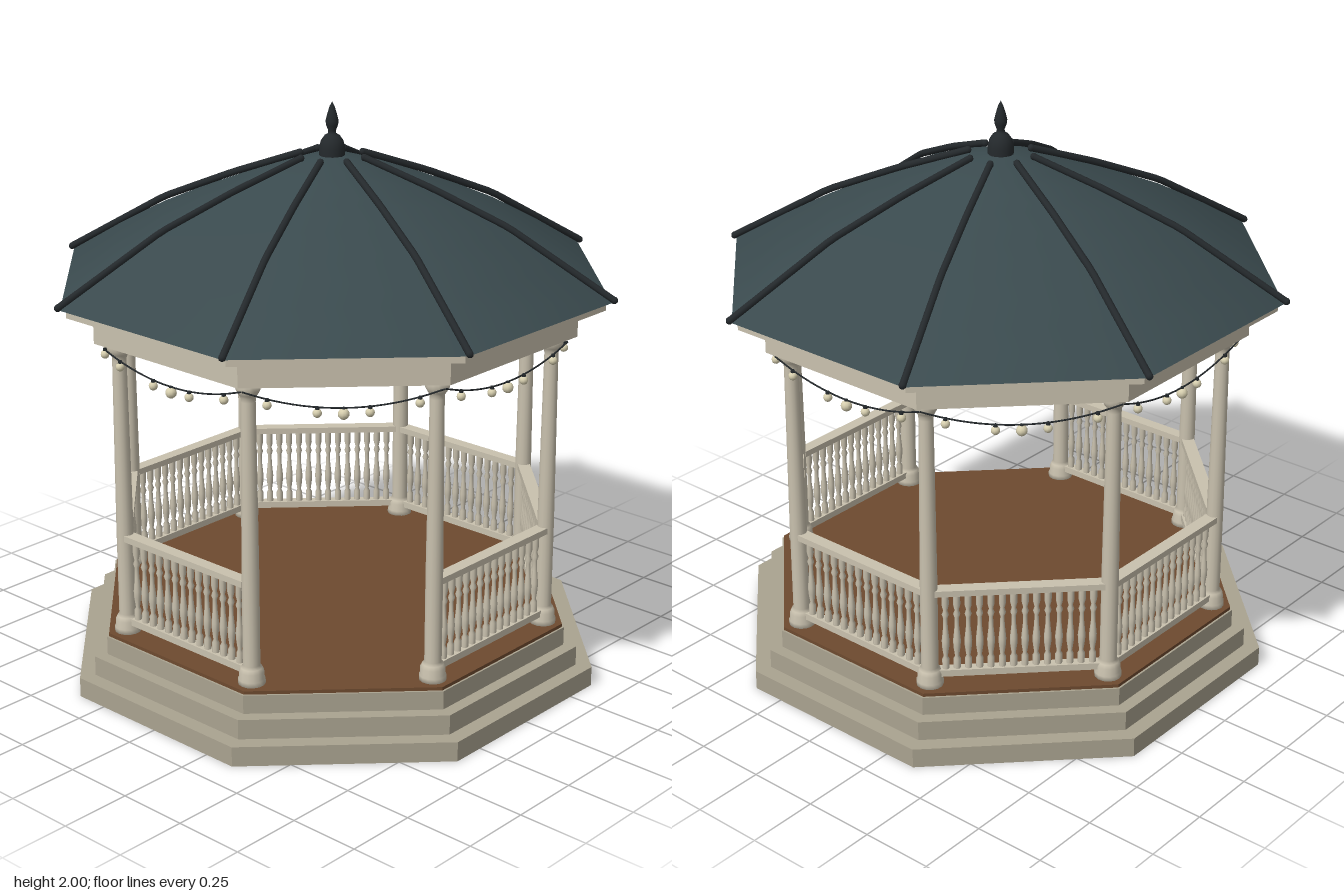
import * as THREE from 'three';

const T = Math.tan(Math.PI / 8), C = Math.cos(Math.PI / 8);
const mat = (color, extra = {}) => new THREE.MeshStandardMaterial({ color, ...extra });
const trim = mat(0xc9c1ae), trimFlat = mat(0xc9c1ae, { flatShading: true });
const stone = mat(0xaaa390, { flatShading: true });
const wood = mat(0x6e4a2f, { flatShading: true });
const slate = mat(0x3a4a4e, { side: THREE.DoubleSide });
const iron = mat(0x24292c), ironFlat = mat(0x24292c, { flatShading: true });
const bulbMat = mat(0xd8d0b0);

function add(parent, name, geometry, material, x = 0, y = 0, z = 0) {
  const m = new THREE.Mesh(geometry, material);
  m.name = name;
  m.position.set(x, y, z);
  parent.add(m);
  return m;
}

const lathe = (pts, n, start = 0) =>
  new THREE.LatheGeometry(pts.map(p => new THREE.Vector2(...p)), n, start);

// Octagonal slab with flat sides facing the axes
function slab(parent, name, apothem, y0, y1, material) {
  const r = apothem / C;
  add(parent, name, new THREE.CylinderGeometry(r, r, y1 - y0, 8, 1, false, Math.PI / 8), material, 0, (y0 + y1) / 2);
}

function octagon(apothem, Type) {
  const p = new Type();
  for (let i = 0; i < 8; i++) {
    const a = (i + 0.5) * Math.PI / 4, r = apothem / C;
    p[i ? 'lineTo' : 'moveTo'](r * Math.cos(a), r * Math.sin(a));
  }
  p.closePath();
  return p;
}

const columnGeo = lathe([
  [0, 0.21], [0.046, 0.21], [0.046, 0.235], [0.042, 0.24], [0.042, 0.262], [0.036, 0.275], [0.029, 0.285],
  [0.029, 0.6], [0.024, 1.2], [0.025, 1.215], [0.032, 1.225], [0.04, 1.24], [0.042, 1.27], [0, 1.27]], 14);

const balusterGeo = lathe([
  [0.012, 0.265], [0.012, 0.31], [0.007, 0.32], [0.012, 0.355], [0.013, 0.38], [0.008, 0.43],
  [0.007, 0.465], [0.012, 0.48], [0.007, 0.495], [0.012, 0.515], [0.012, 0.565]], 8);

// Balustrade panel between two columns
function balustrade(bay) {
  const g = new THREE.Group();
  g.name = 'balustrade';
  add(g, 'topRail', new THREE.BoxGeometry(0.56, 0.022, 0.045), trimFlat, 0, 0.569, 0.72);
  add(g, 'bottomRail', new THREE.BoxGeometry(0.56, 0.024, 0.035), trimFlat, 0, 0.262, 0.72);
  const n = 14;
  for (let i = 0; i < n; i++) add(g, 'baluster', balusterGeo, trim, -0.245 + 0.49 * i / (n - 1), 0, 0.72);
  bay.add(g);
}

// Drooping cord with hanging bulbs
const half = 0.77 * T;
const cordY = x => 1.19 + 0.058 * (x / half) ** 2;
const cordGeo = new THREE.TubeGeometry(new THREE.CatmullRomCurve3(
  Array.from({ length: 9 }, (_, i) => {
    const x = half * (i / 4 - 1);
    return new THREE.Vector3(x, cordY(x), 0.77);
  })), 20, 0.003, 5);
const bulbGeo = new THREE.SphereGeometry(0.015, 10, 8);
const capGeo = new THREE.CylinderGeometry(0.006, 0.008, 0.014, 8);

function stringLights(bay) {
  const g = new THREE.Group();
  g.name = 'stringLights';
  add(g, 'cord', cordGeo, iron);
  for (const x of [-0.24, -0.083, 0, 0.083, 0.24]) {
    add(g, 'bulbCap', capGeo, iron, x, cordY(x) - 0.005, 0.77);
    add(g, 'bulb', bulbGeo, bulbMat, x, cordY(x) - 0.02, 0.77).scale.setScalar(x === 0 ? 1.25 : 1);
  }
  bay.add(g);
}

// Rib lying along a roof hip, in the x-y plane
const ribPath = new THREE.CurvePath();
const ribPts = [[0.985, 1.408], [0.62, 1.622], [0.36, 1.73], [0.115, 1.818]].map(p => new THREE.Vector3(p[0], p[1], 0));
for (let i = 0; i < 3; i++) ribPath.add(new THREE.LineCurve3(ribPts[i], ribPts[i + 1]));
const ribGeo = new THREE.TubeGeometry(ribPath, 24, 0.012, 8);
const ribEnd = new THREE.SphereGeometry(0.0125, 8, 6);

export function createModel() {
  const root = new THREE.Group();
  root.name = 'gazebo';

  // Stepped base and floor
  slab(root, 'lowerStep', 0.888, 0, 0.07, stone);
  slab(root, 'middleStep', 0.835, 0.07, 0.14, stone);
  slab(root, 'upperStep', 0.792, 0.14, 0.206, stone);
  slab(root, 'floor', 0.785, 0.206, 0.218, wood);

  // Eight bays, one left open as the entrance
  for (let k = 0; k < 8; k++) {
    const bay = new THREE.Group();
    bay.name = 'bay';
    bay.rotation.y = k * Math.PI / 4;
    add(bay, 'column', columnGeo, trim, 0.72 * T, 0, 0.72);
    if (k !== 1) balustrade(bay);
    stringLights(bay);
    root.add(bay);
  }

  // Frieze ring and eave
  const ring = octagon(0.8, THREE.Shape);
  ring.holes.push(octagon(0.68, THREE.Path));
  const frieze = new THREE.ExtrudeGeometry(ring, { depth: 0.1, bevelEnabled: false });
  frieze.rotateX(-Math.PI / 2);
  add(root, 'frieze', frieze, trimFlat, 0, 1.27);
  slab(root, 'eave', 0.885, 1.37, 1.4, trimFlat);

  // Domed roof with ribs on the hips
  add(root, 'roof', lathe([[0.978, 1.398], [0.8, 1.508], [0.62, 1.605], [0.48, 1.668],
    [0.34, 1.724], [0.2, 1.777], [0.1, 1.81], [0, 1.825]], 8, Math.PI / 8), slate);
  for (let k = 0; k < 8; k++) {
    const rib = new THREE.Group();
    rib.name = 'roofRib';
    rib.rotation.y = (k + 0.5) * Math.PI / 4;
    add(rib, 'ribBar', ribGeo, iron);
    for (const p of [ribPts[0], ribPts[3]]) add(rib, 'ribEnd', ribEnd, iron, p.x, p.y);
    root.add(rib);
  }

  // Finial
  add(root, 'finial', lathe([[0.044, 1.81], [0.044, 1.845], [0.038, 1.868], [0.026, 1.885], [0.014, 1.892],
    [0.013, 1.902], [0.02, 1.92], [0.022, 1.935], [0.016, 1.96], [0.008, 1.985], [0, 2]], 16), iron);

  // Hanging lantern
  const lantern = new THREE.Group();
  lantern.name = 'lantern';
  add(lantern, 'rod', new THREE.CylinderGeometry(0.004, 0.004, 0.24, 6), iron, 0, 1.255);
  add(lantern, 'shade', new THREE.CylinderGeometry(0.034, 0.054, 0.085, 8), ironFlat, 0, 1.0975);
  add(lantern, 'rim', new THREE.CylinderGeometry(0.054, 0.05, 0.02, 8), ironFlat, 0, 1.045);
  add(lantern, 'cap', new THREE.CylinderGeometry(0.01, 0.034, 0.012, 8), ironFlat, 0, 1.146);
  root.add(lantern);

  return root;
}
